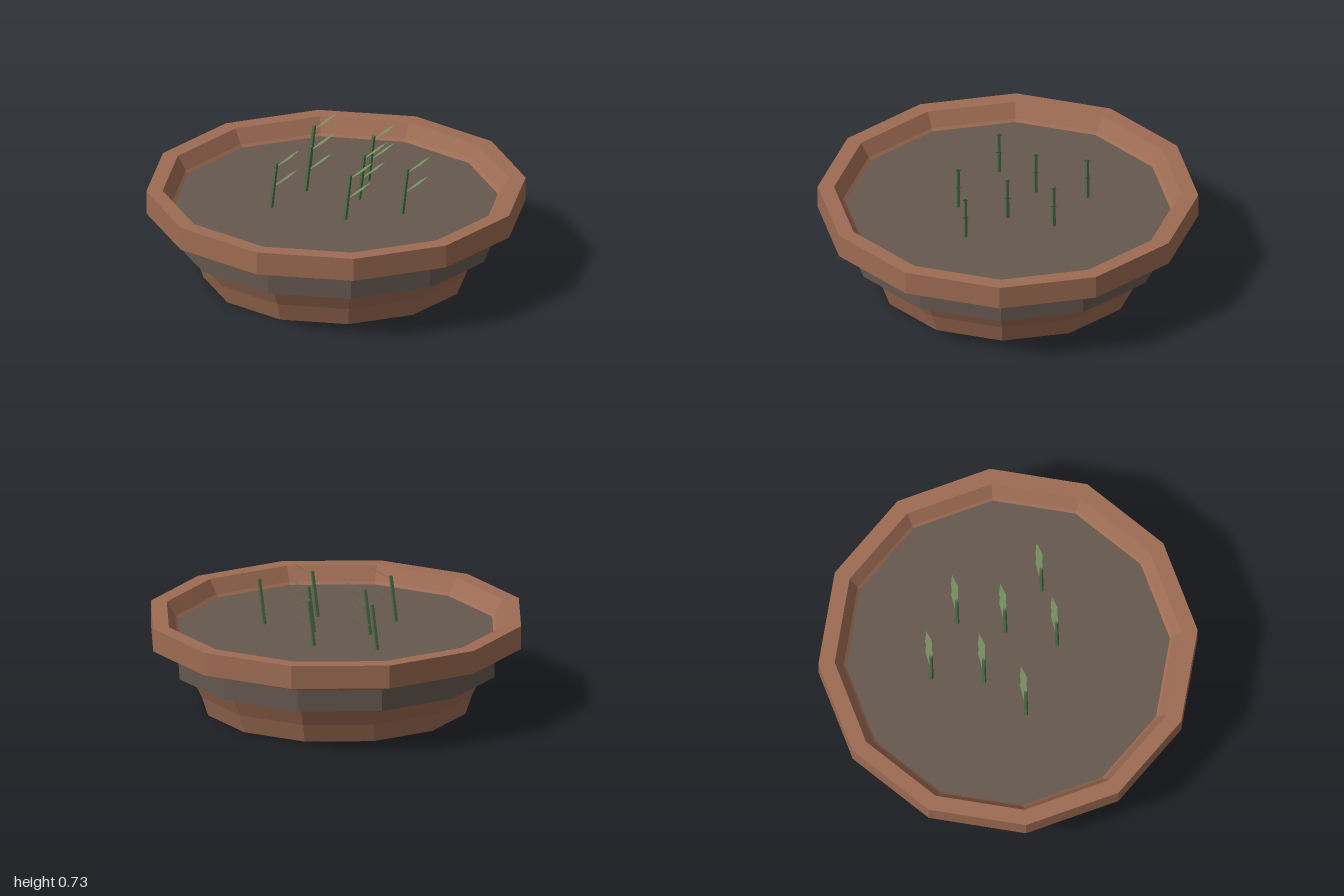
import * as THREE from 'three';

const SIDES = 12;
const mat = (name, color, side = THREE.FrontSide) =>
  Object.assign(new THREE.MeshStandardMaterial({ color, flatShading: true, side }), { name });

export function createModel() {
  const terracotta = mat('terracotta', 0x9e6c53);
  const earth = mat('earth', 0x65584f);
  const stemGreen = mat('stemGreen', 0x4f6e48);
  const leafGreen = mat('leafGreen', 0x758b5d, THREE.DoubleSide);

  const model = new THREE.Group();
  model.name = 'planter';

  const add = (parent, name, geometry, material) => {
    const mesh = new THREE.Mesh(geometry, material);
    mesh.name = name;
    parent.add(mesh);
    return mesh;
  };
  const lathe = (profile) =>
    new THREE.LatheGeometry(profile.map(([r, y]) => new THREE.Vector2(r, y)), SIDES);

  // Bowl: base, flared wall, overhanging rim and inner lip
  add(model, 'bowl', lathe([
    [0, 0], [0.7, 0], [0.733, 0.1], [0.787, 0.21], [0.885, 0.375],
    [1, 0.375], [1, 0.5], [0.914, 0.5], [0.868, 0.425], [0.853, 0.41],
  ]), terracotta);

  // Dark band around the wall
  add(model, 'band', lathe([
    [0.77, 0.21], [0.855, 0.21], [0.855, 0.325], [0.84, 0.325],
  ]), earth);

  // Soil surface
  const soil = add(model, 'soil', new THREE.CircleGeometry(0.857, SIDES), earth);
  soil.rotation.x = -Math.PI / 2;
  soil.position.y = 0.411;

  // Sprout: leaning stem with two pointed leaves
  const stemBase = new THREE.Vector3(0, 0.4, 0);
  const stemTop = new THREE.Vector3(0.03, 0.662, 0);
  const stemLine = new THREE.Vector3().subVectors(stemTop, stemBase);
  const stemGeo = new THREE.CylinderGeometry(0.01, 0.012, stemLine.length(), 5);
  stemGeo.applyQuaternion(new THREE.Quaternion().setFromUnitVectors(
    new THREE.Vector3(0, 1, 0), stemLine.clone().normalize()));
  stemGeo.translate(0.015, 0.531, 0);

  const leafGeo = new THREE.BufferGeometry();
  leafGeo.setAttribute('position', new THREE.Float32BufferAttribute([
    0, 0, 0.005, 0.075, 0.051, 0.014, 0.128, 0.086, -0.012,
    0.08, 0.054, -0.023, 0, 0, -0.005,
  ], 3));
  leafGeo.setIndex([0, 1, 4, 1, 3, 4, 1, 2, 3]);
  leafGeo.computeVertexNormals();

  const spots = [
    [-0.106, -0.414], [0.192, -0.25], [-0.148, -0.14], [0.12, -0.003],
    [-0.349, 0.062], [0.328, 0.208], [0.022, 0.26],
  ];
  for (const [x, z] of spots) {
    const sprout = new THREE.Group();
    sprout.name = 'sprout';
    sprout.position.set(x, 0, z);
    add(sprout, 'stem', stemGeo, stemGreen);
    add(sprout, 'lowerLeaf', leafGeo, leafGreen).position.set(0.015, 0.528, 0);
    add(sprout, 'upperLeaf', leafGeo, leafGreen).position.set(0.027, 0.64, 0);
    model.add(sprout);
  }
  return model;
}
